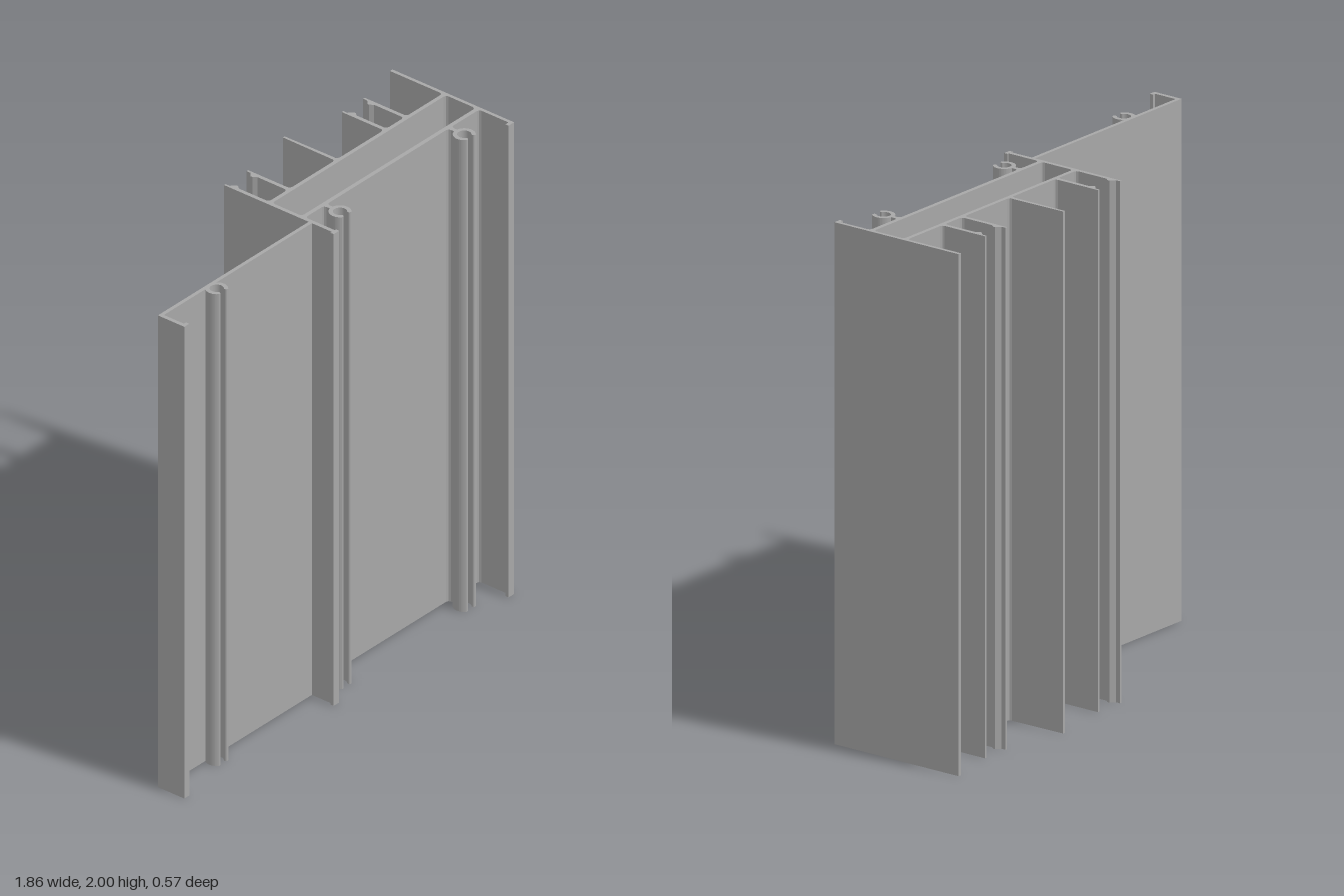
import * as THREE from 'three';

const HEIGHT = 2;

export function createModel() {
  const group = new THREE.Group();
  group.name = 'extrudedFrameProfile';
  const aluminium = new THREE.MeshStandardMaterial({ color: 0xa8a8a8 });
  aluminium.name = 'aluminium grey';

  // Extrude a plan-view shape (x, -z) over the full height
  function addPart(name, shape) {
    const geo = new THREE.ExtrudeGeometry(shape, { depth: HEIGHT, bevelEnabled: false, curveSegments: 16 });
    geo.rotateX(-Math.PI / 2);
    const mesh = new THREE.Mesh(geo, aluminium);
    mesh.name = name;
    group.add(mesh);
  }

  // Polygon from [x, z] corners
  const poly = (name, pts) =>
    addPart(name, new THREE.Shape(pts.map(([x, z]) => new THREE.Vector2(x, -z))));

  const wall = (name, x0, x1, z0, z1) =>
    poly(name, [[x0, z0], [x1, z0], [x1, z1], [x0, z1]]);

  // Small corner fillet, sx and sz point into the open corner
  const fillet = (x, z, sx, sz, r = 0.012) =>
    poly('cornerFillet', [[x, z], [x + sx * r, z], [x + sx * r * 0.3, z + sz * r * 0.3], [x, z + sz * r]]);

  // Horizontal webs
  wall('sideFlange', -0.917, -0.08, 0.16, 0.175);
  wall('backWeb', -0.065, 0.916, -0.042, -0.026);
  wall('frontWeb', -0.065, 0.916, 0.114, 0.131);

  // Outer walls with inward feet
  poly('flangeEnd', [[-0.933, 0.16], [-0.917, 0.16], [-0.917, 0.27], [-0.905, 0.27], [-0.905, 0.285], [-0.933, 0.285]]);
  poly('outerWall', [[0.916, -0.29], [0.93, -0.29], [0.93, 0.285], [0.899, 0.285], [0.899, 0.27], [0.916, 0.27]]);

  // Clip fin: stem with thin tip and a barb on side s
  function clipFin(name, x, s, z1) {
    const p = (dx, z) => [x + s * dx, z];
    poly(name, [p(-0.008, -0.24), p(0.001, -0.24), p(0.001, -0.221), p(0.019, -0.205),
      p(0.019, -0.197), p(0.008, -0.182), p(0.008, z1), p(-0.008, z1)]);
  }
  clipFin('middleWall', -0.073, 1, 0.27);
  wall('middleWallFoot', -0.089, -0.058, 0.27, 0.285);
  clipFin('clipFin', 0.047, -1, -0.042);
  clipFin('clipFin', 0.592, 1, -0.042);
  clipFin('clipFin', 0.706, -1, -0.042);

  // Plain centre fin, slightly tapered
  poly('centreFin', [[0.311, -0.29], [0.321, -0.29], [0.324, -0.042], [0.309, -0.042]]);

  // Fillets at fin roots and chamber corners
  for (const [x, w] of [[0.047, 0.008], [0.3165, 0.0075], [0.592, 0.008], [0.706, 0.008]]) {
    fillet(x - w, -0.042, -1, -1);
    fillet(x + w, -0.042, 1, -1);
  }
  for (const [x, sx] of [[-0.065, 1], [0.916, -1]]) {
    fillet(x, -0.042, sx, -1);
    fillet(x, -0.026, sx, 1);
    fillet(x, 0.114, sx, -1);
    fillet(x, 0.131, sx, 1);
  }

  // C-shaped screw ports, open to the front, with rounded lips
  function screwPort(x, z) {
    const outer = 0.042, inner = 0.026, mid = (outer + inner) / 2, r = (outer - inner) / 2;
    const a0 = -Math.PI / 2 + 0.72, a1 = Math.PI * 1.5 - 0.72;
    const s = new THREE.Shape();
    s.absarc(x, -z, outer, a0, a1, false);
    s.absarc(x + mid * Math.cos(a1), -z + mid * Math.sin(a1), r, a1, a1 + Math.PI, false);
    s.absarc(x, -z, inner, a1, a0, true);
    s.absarc(x + mid * Math.cos(a0), -z + mid * Math.sin(a0), r, a0 + Math.PI, a0 + Math.PI * 2, false);
    addPart('screwPort', s);
  }
  screwPort(-0.651, 0.202);
  for (const x of [0.048, 0.75]) {
    screwPort(x, 0.2);
    wall('screwPortStem', x - 0.008, x + 0.008, 0.131, 0.162);
    fillet(x - 0.008, 0.131, -1, 1);
    fillet(x + 0.008, 0.131, 1, 1);
  }

  return group;
}
